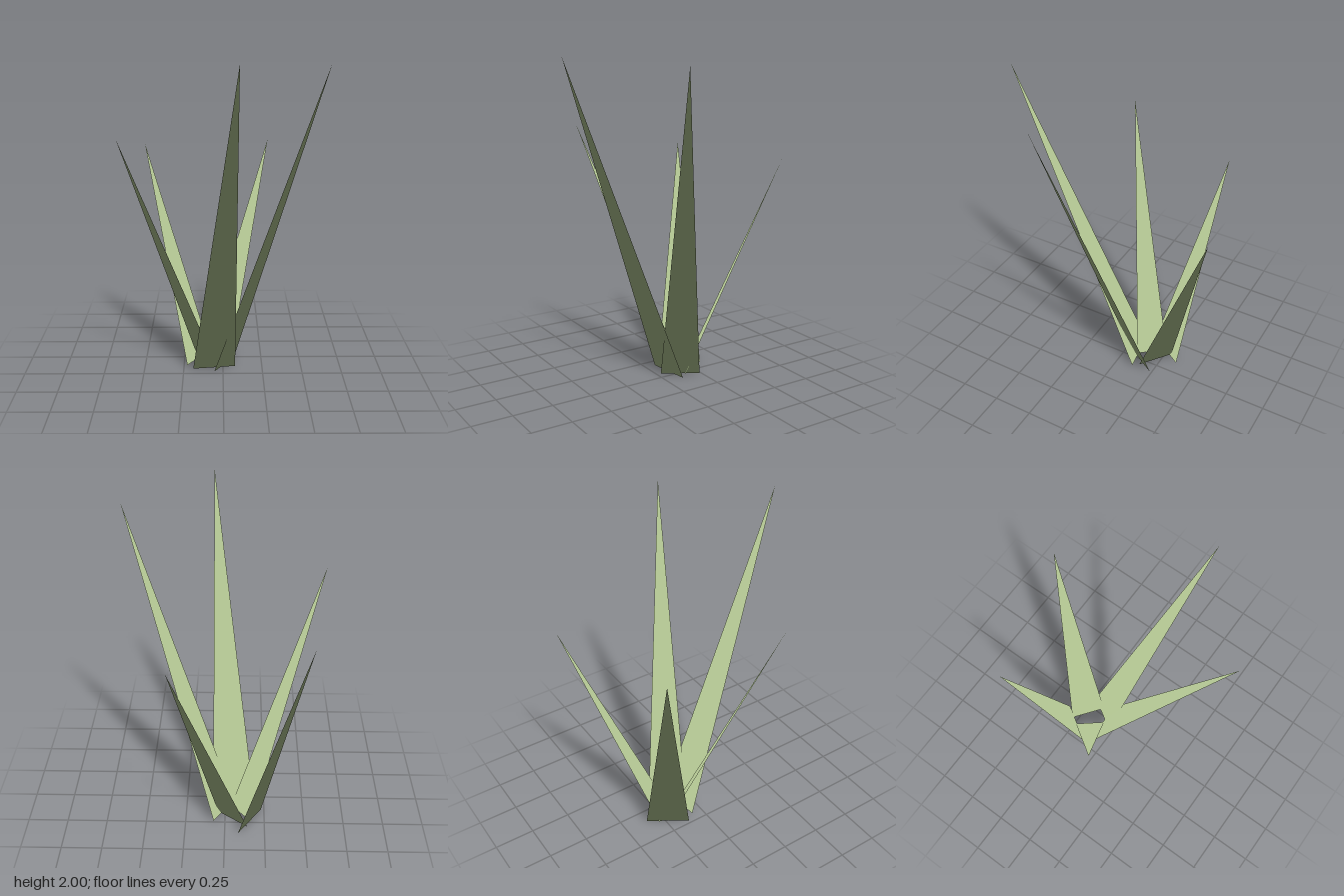
import * as THREE from 'three';

const leafGreen = new THREE.MeshStandardMaterial({ color: 0xb5c994, side: THREE.DoubleSide });
leafGreen.name = 'leafGreen';

// Flat blade: two base corners and a tip, shaded evenly with upward normals
function makeBlade(...corners) {
  const geometry = new THREE.BufferGeometry();
  const normals = corners.map(() => [0, 1, 0]);
  geometry.setAttribute('position', new THREE.Float32BufferAttribute(corners.flat(), 3));
  geometry.setAttribute('normal', new THREE.Float32BufferAttribute(normals.flat(), 3));
  geometry.setIndex([0, 1, 2]);
  return new THREE.Mesh(geometry, leafGreen);
}

export function createModel() {
  const tuft = new THREE.Group();
  tuft.name = 'grassTuft';

  // Five blades fanning out from a small ring: right base corner, left base corner, tip
  const blades = {
    frontBlade: [[0.078, 0, -0.11], [-0.19, 0, -0.07], [0.08, 2, 0.675]],
    leftBlade: [[0.072, 0, -0.24], [-0.055, 0, -0.03], [0.6, 1.96, 0.21]],
    rightBlade: [[-0.037, 0, -0.087], [-0.163, 0, -0.24], [-0.6, 1.55, 0.256]],
    backRightBlade: [[-0.23, 0, -0.123], [-0.083, 0, -0.352], [-0.495, 1.39, -0.443]],
    backLeftBlade: [[-0.14, 0, -0.288], [0.045, 0, -0.147], [0.299, 1.372, -0.675]],
  };
  for (const [name, corners] of Object.entries(blades)) {
    const blade = makeBlade(...corners);
    blade.name = name;
    tuft.add(blade);
  }
  return tuft;
}
